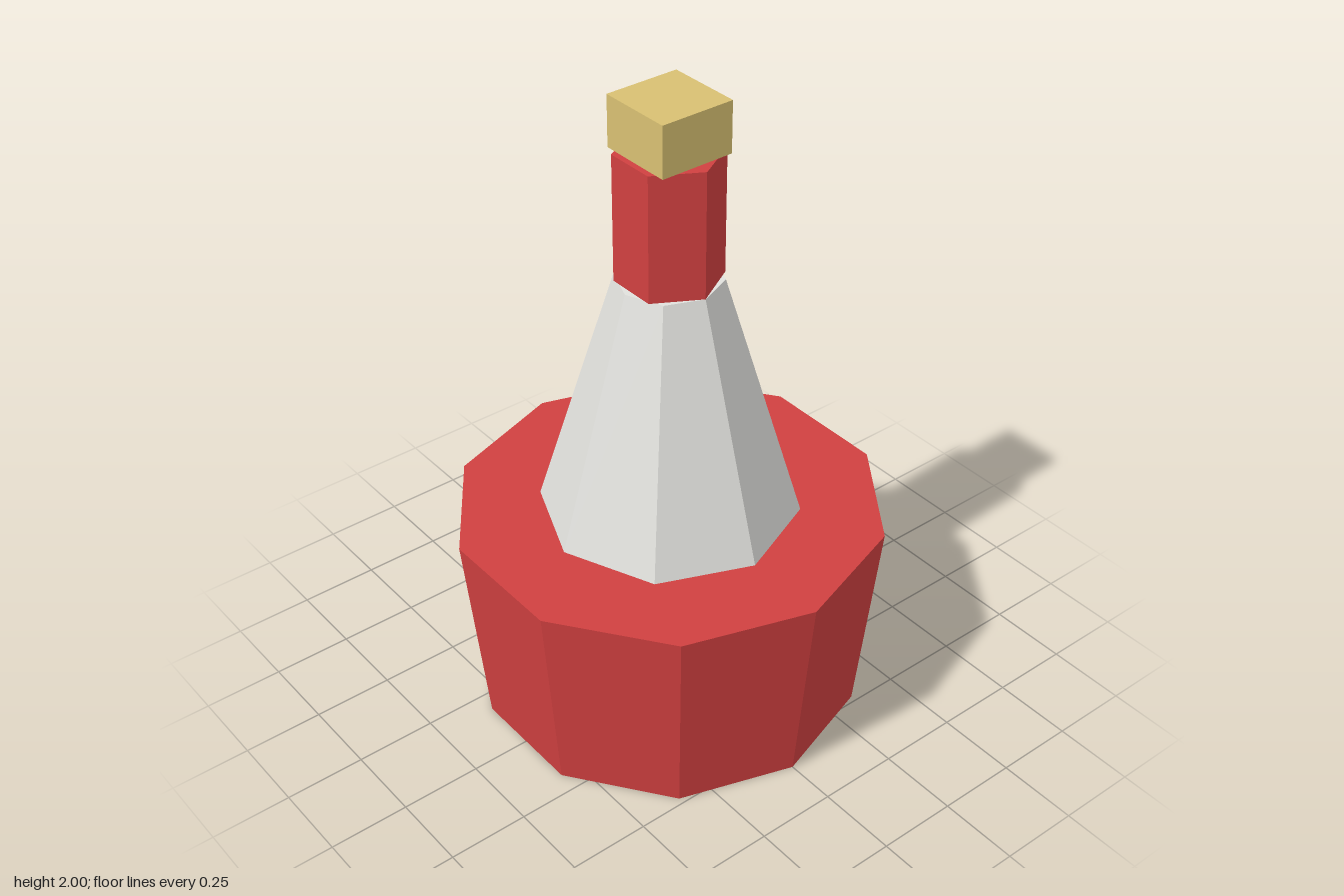
import * as THREE from 'three';

export function createModel() {
  const group = new THREE.Group();
  const material = (name, color) => {
    const m = new THREE.MeshStandardMaterial({ color, flatShading: true });
    m.name = name;
    return m;
  };
  const red = material('red', 0xd04040);
  const grey = material('pale grey', 0xe0e0dc);
  const gold = material('gold', 0xd8c072);

  const add = (name, geometry, mat, y) => {
    const mesh = new THREE.Mesh(geometry, mat);
    mesh.name = name;
    mesh.position.y = y;
    group.add(mesh);
  };
  // Tapered faceted section standing between two heights
  const section = (name, mat, sides, rBottom, rTop, y0, y1) =>
    add(name, new THREE.CylinderGeometry(rTop, rBottom, y1 - y0, sides), mat, (y0 + y1) / 2);

  section('base', red, 10, 0.593, 0.658, 0, 0.66);
  section('taperedBody', grey, 8, 0.395, 0.158, 0.66, 1.45);
  section('neck', red, 6, 0.158, 0.158, 1.45, 1.843);

  // Square cap on the neck
  add('cap', new THREE.BoxGeometry(0.237, 0.157, 0.237), gold, 1.9215);

  return group;
}
